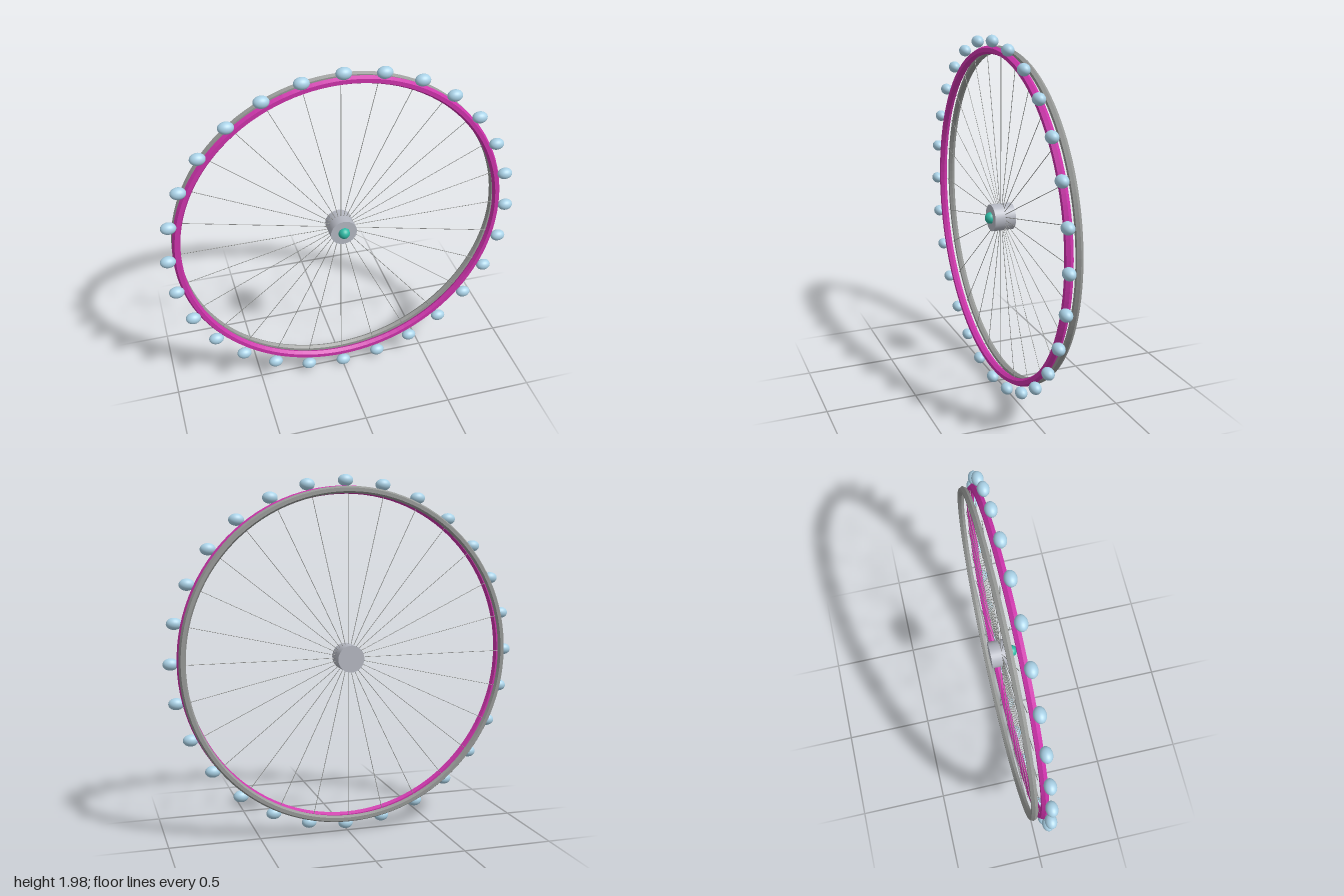
import * as THREE from 'three';

const CENTRE_Y = 0.99;
const COUNT = 28;

const mat = (name, color, flatShading = false) => {
  const m = new THREE.MeshStandardMaterial({ color, flatShading });
  m.name = name;
  return m;
};

export function createModel() {
  const magenta = mat('magenta', 0xcc33aa, true);
  const midGrey = mat('mid grey', 0x969896, true);
  const hubGrey = mat('hub grey', 0xb4b7c1);
  const paleBlue = mat('pale blue', 0xabd3e8);
  const teal = mat('teal', 0x2fb9a4);

  const wheel = new THREE.Group();
  wheel.name = 'wheel';
  wheel.position.y = CENTRE_Y;

  const add = (name, geometry, material, x = 0, y = 0, z = 0) => {
    const mesh = new THREE.Mesh(geometry, material);
    mesh.name = name;
    mesh.position.set(x, y, z);
    wheel.add(mesh);
    return mesh;
  };

  // Two parallel rims of six-sided tube
  add('frontRim', new THREE.TorusGeometry(0.907, 0.022, 6, 112), magenta, 0, 0, 0.011);
  add('rearRim', new THREE.TorusGeometry(0.907, 0.019, 6, 112), midGrey, 0, 0, -0.043);

  // Hub drum and its front cap
  add('hub', new THREE.CylinderGeometry(0.074, 0.074, 0.12, 32).rotateX(Math.PI / 2), hubGrey, 0, 0, -0.016);
  add('hubCap', new THREE.SphereGeometry(0.032, 24, 16), teal, 0, 0, 0.045);

  // Spokes and the upright cabins around the rim
  const spoke = new THREE.CylinderGeometry(0.0018, 0.0018, 0.85, 6).translate(0, 0.48, 0);
  const cabin = new THREE.SphereGeometry(1, 24, 16).scale(0.042, 0.032, 0.032);
  for (let i = 0; i < COUNT; i++) {
    const a = (i / COUNT) * Math.PI * 2;
    add('spoke', spoke, midGrey, 0, 0, -0.016).rotation.z = a;
    add('cabin', cabin, paleBlue, Math.cos(a) * 0.958, Math.sin(a) * 0.958, 0.034);
  }

  const model = new THREE.Group();
  model.name = 'observationWheel';
  model.add(wheel);
  return model;
}
